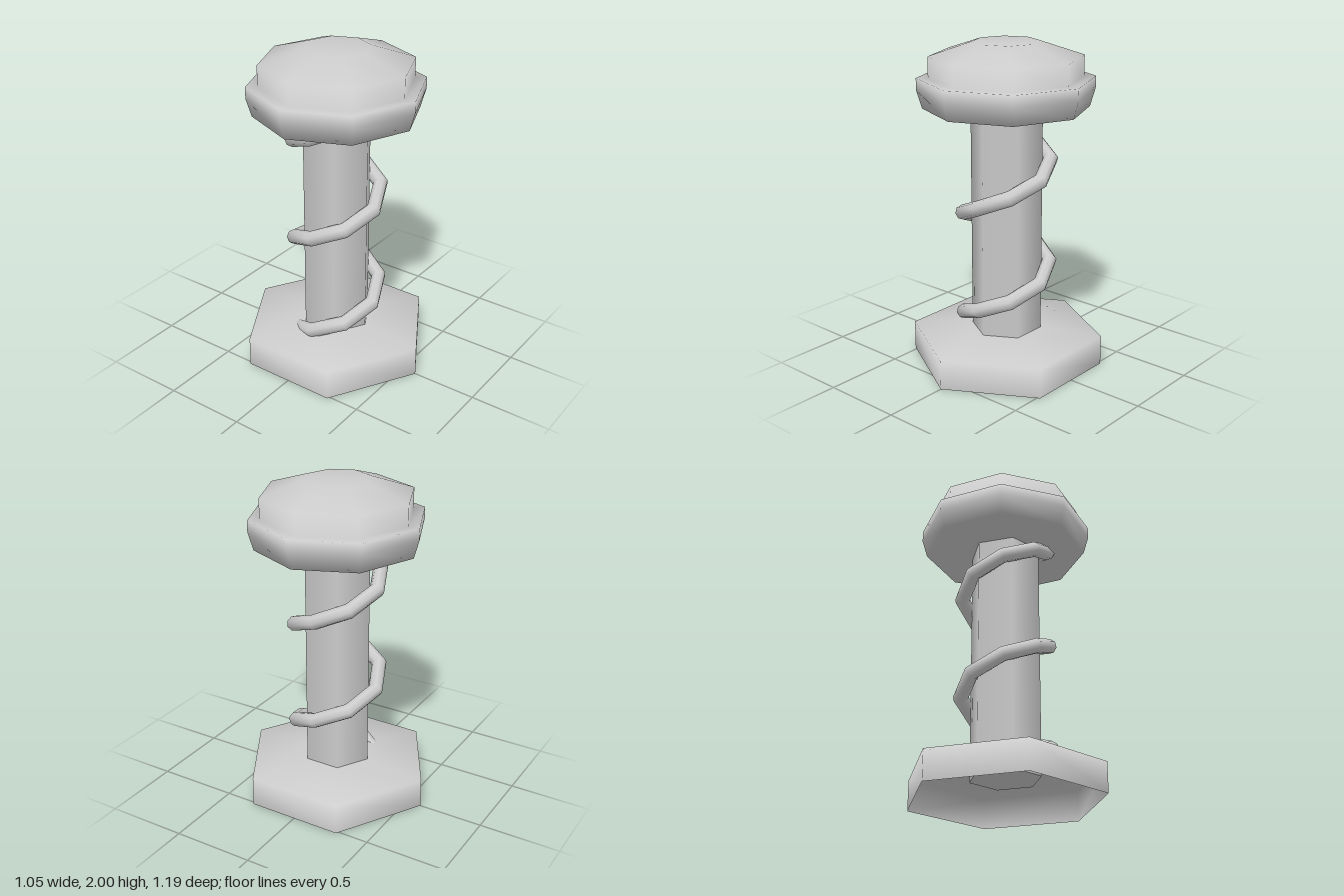
import * as THREE from 'three';

const material = new THREE.MeshStandardMaterial({ color: 0xcccccc, side: THREE.DoubleSide });

// Helix climbing around the column, one turn per parameter unit
const FIRST = -1.375, LAST = 1, PITCH = 0.65;
class Helix extends THREE.Curve {
  getPoint(t, target = new THREE.Vector3()) {
    const turn = FIRST + (LAST - FIRST) * t;
    const a = turn * Math.PI * 2;
    return target.set(0.265 * Math.sin(a), 1.047 + PITCH * turn, 0.265 * Math.cos(a));
  }
}

export function createModel() {
  const group = new THREE.Group();
  const add = (name, geometry) => {
    const mesh = new THREE.Mesh(geometry, material);
    mesh.name = name;
    group.add(mesh);
    return mesh;
  };
  const lathe = (profile, sides) =>
    new THREE.LatheGeometry(profile.map(([r, y]) => new THREE.Vector2(r, y)), sides);

  // Hollow six-sided nut, open underneath
  add('baseNut', lathe([[0.597, 0], [0.597, 0.185], [0.21, 0.218]], 6));

  // Six-sided column, its end showing inside the nut
  const column = add('column', new THREE.CylinderGeometry(0.217, 0.217, 1.515, 6));
  column.position.y = 0.135 + 1.515 / 2;

  // Eight-sided head: tapered flange with a domed cap
  add('head', lathe([
    [0.19, 1.61], [0.495, 1.61], [0.527, 1.72], [0.527, 1.79],
    [0.457, 1.79], [0.457, 1.915], [0.2, 2], [0, 2],
  ], 8));

  // Coarse thread wound around the column, eight segments per turn
  const helix = new Helix();
  add('thread', new THREE.TubeGeometry(helix, (LAST - FIRST) * 8, 0.046, 8));

  // Flat ends of the thread
  for (const [t, dir] of [[0, -1], [1, 1]]) {
    const cap = add('threadEnd', new THREE.CircleGeometry(0.046, 8));
    cap.position.copy(helix.getPoint(t));
    cap.lookAt(cap.position.clone().addScaledVector(helix.getTangent(t), dir));
  }
  return group;
}
